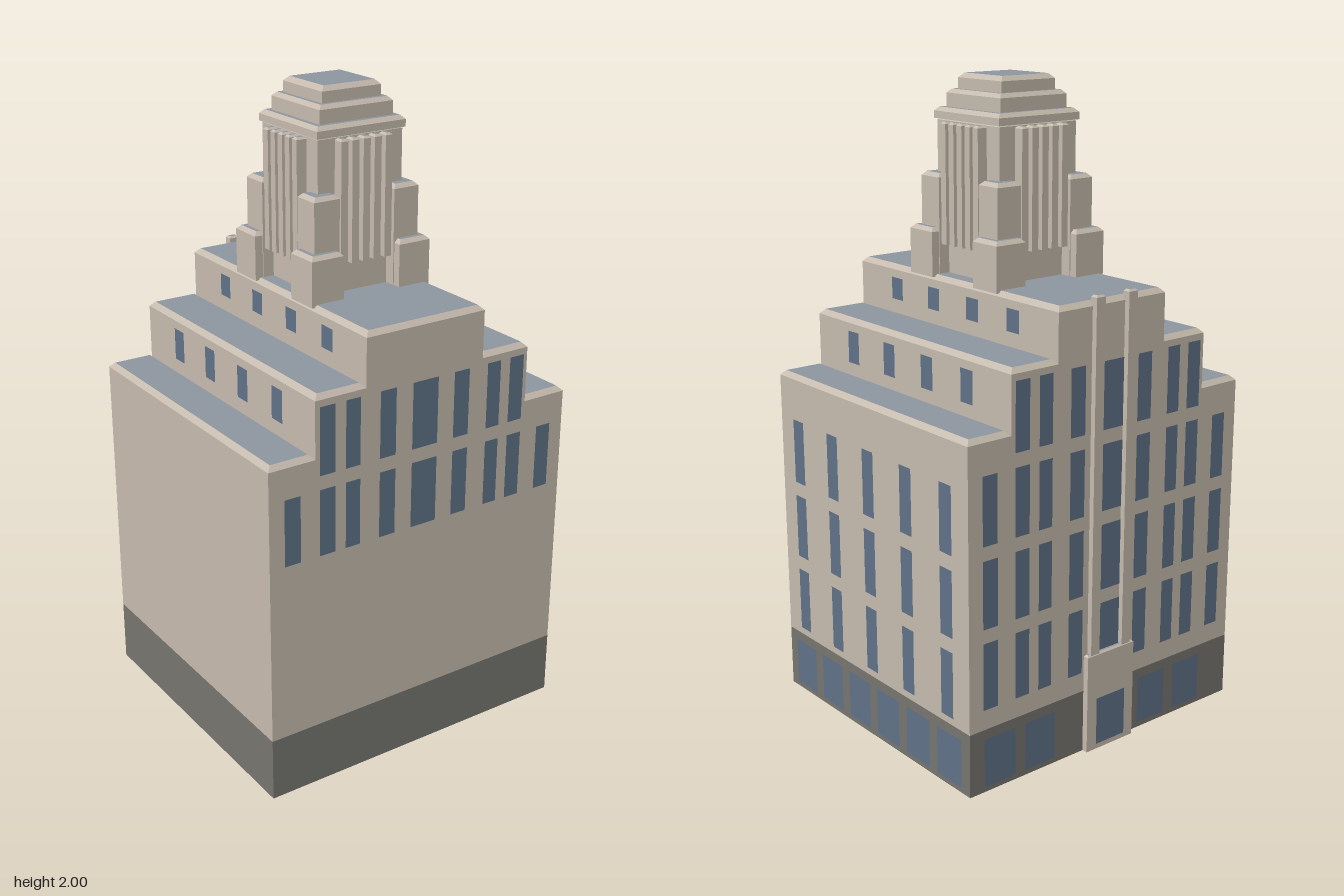
import * as THREE from 'three';

const mat = (name, color) => {
  const m = new THREE.MeshStandardMaterial({ color });
  m.name = name;
  return m;
};

export function createModel() {
  const model = new THREE.Group();
  model.name = 'steppedTowerBuilding';
  const wall = mat('stone', 0xc5baad);
  const roof = mat('roofGrey', 0x8c969e);
  const base = mat('darkBase', 0x75746e);
  const glass = mat('windowGlass', 0x5f7186);
  const X = 0.53, ZB = -0.47, ZF = 0.487, CZ = 0.009;

  const add = (name, geo, material, x = 0, y = 0, z = 0, parent = model) => {
    const m = new THREE.Mesh(geo, material);
    m.name = name;
    m.position.set(x, y, z);
    parent.add(m);
    return m;
  };

  // Plain box given by its limits
  const box = (name, x0, x1, y0, y1, z0, z1, material) =>
    add(name, new THREE.BoxGeometry(x1 - x0, y1 - y0, z1 - z0), material,
      (x0 + x1) / 2, (y0 + y1) / 2, (z0 + z1) / 2);

  // Box with a chamfered top edge and a roof-coloured top
  const block = (name, x0, x1, y0, y1, z0, z1, c = 0.015) => {
    const w = x1 - x0, h = y1 - y0, d = z1 - z0;
    let geo = new THREE.BoxGeometry(w, h, d, 1, 2, 1);
    const p = geo.attributes.position;
    for (let i = 0; i < p.count; i++) {
      const y = p.getY(i);
      if (Math.abs(y) < 1e-6) p.setY(i, h / 2 - c);
      else if (y > 0) {
        p.setX(i, Math.sign(p.getX(i)) * (w / 2 - c));
        p.setZ(i, Math.sign(p.getZ(i)) * (d / 2 - c));
      }
    }
    geo = geo.toNonIndexed();
    geo.computeVertexNormals();
    return add(name, geo, [wall, wall, roof, wall, wall, wall],
      (x0 + x1) / 2, (y0 + y1) / 2, (z0 + z1) / 2);
  };

  // Hollow dark base
  const t = 0.008;
  box('baseFront', -X, X, 0, 0.2, ZF - t, ZF, base);
  box('baseBack', -X, X, 0, 0.2, ZB, ZB + t, base);
  for (const s of [-1, 1]) {
    const a = s * X, b = s * (X - t);
    box('baseSide', Math.min(a, b), Math.max(a, b), 0, 0.2, ZB + t, ZF - t, base);
  }

  // Stepped wings on both sides of an open central shaft
  for (const s of [-1, 1]) {
    const span = (a, b) => (s > 0 ? [a, b] : [-b, -a]);
    block('outerWing', ...span(0.377, X), 0.2, 1.08, ZB, ZF);
    block('middleWing', ...span(0.207, 0.377), 0.2, 1.255, ZB, ZF);
  }
  block('centralTop', -0.207, 0.207, 1.24, 1.403, ZB, ZF);
  box('centralFrontWall', -0.207, 0.207, 0.2, 1.24, ZF - t, ZF, wall);
  box('centralBackWall', -0.207, 0.207, 0.2, 1.24, ZB, ZB + t, wall);

  // Tower: stepped corner buttresses, shaft, fins and crown
  for (const sx of [-1, 1]) for (const sz of [-1, 1]) {
    const corner = (name, a, b, y1) => block(name,
      Math.min(sx * a, sx * b), Math.max(sx * a, sx * b), 1.395, y1,
      CZ + Math.min(sz * a, sz * b), CZ + Math.max(sz * a, sz * b), 0.012);
    corner('lowerButtress', 0.099, 0.209, 1.545);
    corner('upperButtress', 0.096, 0.183, 1.707);
  }
  const tier = (name, r, y0, y1, c) => block(name, -r, r, y0, y1, CZ - r, CZ + r, c);
  tier('towerShaft', 0.147, 1.395, 1.868, 0.006);
  tier('crownLower', 0.154, 1.866, 1.9, 0.012);
  tier('crownMiddle', 0.127, 1.89, 1.953, 0.012);
  tier('crownUpper', 0.102, 1.94, 2.0, 0.014);
  for (let i = -2; i <= 2; i++) for (const s of [-1, 1]) {
    const u = i * 0.0385, r = 0.012, c = s * 0.163, q = 0.017;
    block('towerFin', u - r, u + r, 1.495, 1.862, CZ + c - q, CZ + c + q, 0.006);
    block('towerFin', c - q, c + q, 1.495, 1.862, CZ + u - r, CZ + u + r, 0.006);
  }

  // Back entrance and tall pilasters
  block('entrance', -0.094, 0.094, 0, 0.32, -0.489, ZB, 0.006);
  for (const s of [-1, 1])
    block('pilaster', s * 0.063 - 0.017, s * 0.063 + 0.017, 0.3, 1.42, -0.487, -0.462, 0.006);

  // Window panes: facing is front, back, right (-x) or left (+x)
  const turn = { front: 0, back: Math.PI, left: Math.PI / 2, right: -Math.PI / 2 };
  const pane = (facing, u, y0, y1, w, depth) => {
    const side = facing === 'left' || facing === 'right';
    const out = depth + Math.sign(depth) * 0.002;
    const m = add('window', new THREE.PlaneGeometry(w, y1 - y0), glass,
      side ? out : u, (y0 + y1) / 2, side ? u : out);
    m.rotation.y = turn[facing];
  };

  // Front and back window columns: [x, width]
  const columns = [[0, 0.09]];
  for (const s of [-1, 1])
    columns.push([s * 0.131, 0.055], [s * 0.251, 0.049], [s * 0.337, 0.052], [s * 0.454, 0.053]);
  for (const [x, w] of columns) for (let row = 0; row < 4; row++) {
    if (row === 0 && Math.abs(x) > 0.4) continue;
    const y1 = 1.22 - row * 0.25, y0 = y1 - 0.207;
    if (row < 2) pane('front', x, y0, y1, w, ZF);
    pane('back', x, y0, y1, w, ZB);
  }
  for (const x of [0.42, 0.267, -0.19, -0.346]) pane('back', x, 0.017, 0.17, 0.115, ZB);
  pane('back', 0, 0.017, 0.17, 0.115, -0.489);

  // Windows of the left wall and base
  for (let i = 0; i < 5; i++) for (let row = 0; row < 3; row++) {
    const y1 = 0.934 - row * 0.252;
    pane('left', 0.01 + (i - 2) * 0.189, y1 - 0.207, y1, 0.056, X);
  }
  for (let i = 0; i < 6; i++)
    pane('left', 0.008 + (i - 2.5) * 0.153, 0.017, 0.17, 0.115, X);

  // Small windows on the setback walls, both sides
  for (let i = 0; i < 4; i++) for (const [facing, s] of [['left', 1], ['right', -1]]) {
    const z = 0.01 + (i - 1.5) * 0.189;
    pane(facing, z, 1.114, 1.215, 0.056, s * 0.377);
    pane(facing, z, 1.294, 1.363, 0.056, s * 0.207);
  }
  return model;
}
